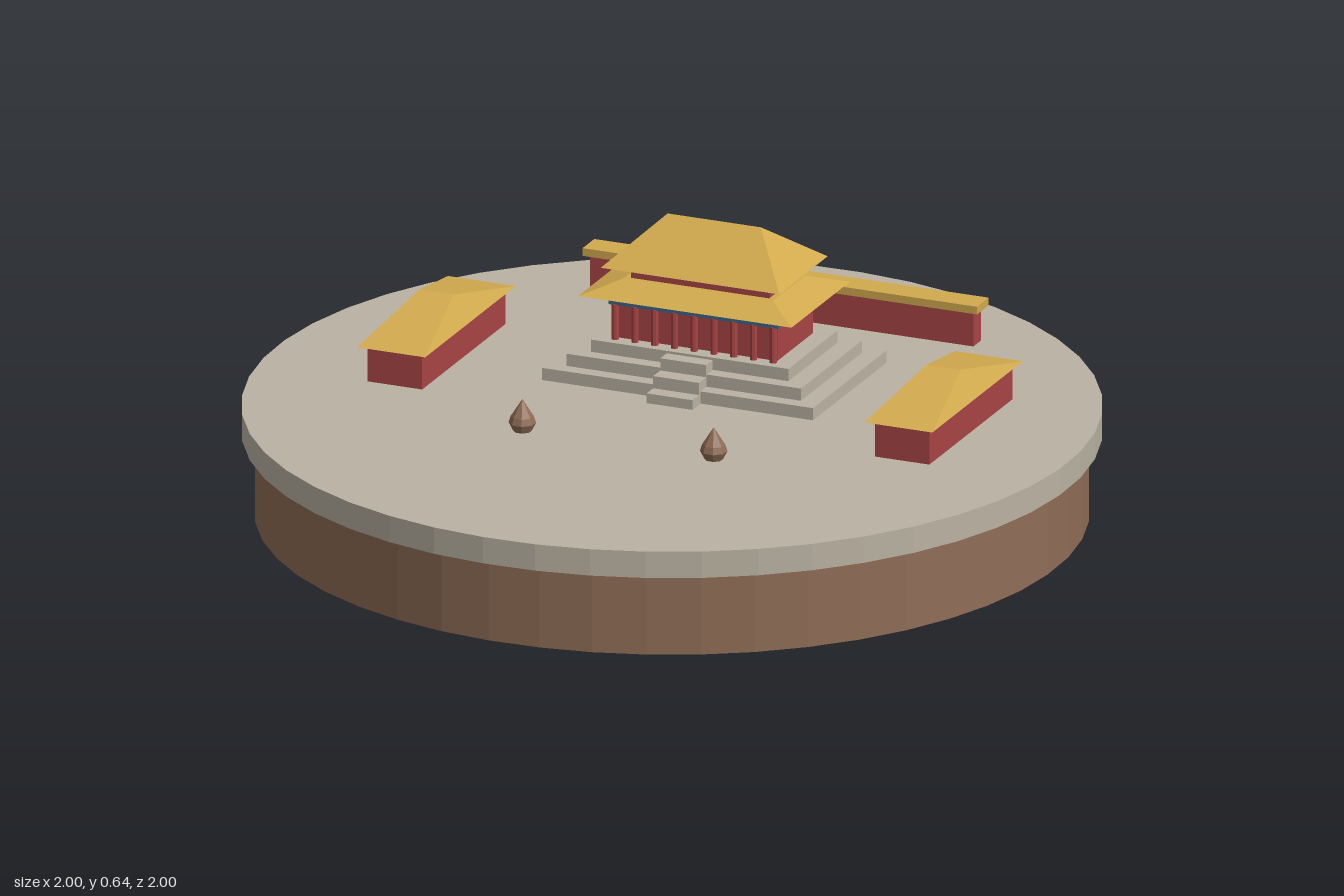
import * as THREE from 'three';

const paint = (name, color) => {
  const m = new THREE.MeshStandardMaterial({ color });
  m.name = name;
  return m;
};

// facet a round geometry
function faceted(geo) {
  const g = geo.toNonIndexed();
  g.computeVertexNormals();
  return g;
}

// box whose top is narrowed; topD = 0 gives a hip roof with its ridge along x
function taperedBox(w, d, h, topW, topD) {
  const g = new THREE.BoxGeometry(w, h, d);
  const p = g.attributes.position;
  for (let i = 0; i < p.count; i++) {
    if (p.getY(i) > 0) {
      p.setX(i, Math.sign(p.getX(i)) * topW / 2);
      p.setZ(i, Math.sign(p.getZ(i)) * topD / 2);
    }
  }
  g.computeVertexNormals();
  return g;
}

export function createModel() {
  const stone = paint('stone', 0xbab2a2);
  const earth = paint('earth', 0x8f6d56);
  const red = paint('red wall', 0xa94444);
  const gold = paint('golden tile', 0xd2aa4e);
  const blue = paint('blue beam', 0x3a6688);

  const model = new THREE.Group();
  model.name = 'palaceIsland';

  const add = (parent, name, geo, mat, x, y, z) => {
    const m = new THREE.Mesh(geo, mat);
    m.name = name;
    m.position.set(x, y, z);
    parent.add(m);
    return m;
  };
  // box given by its bottom and top heights
  const slab = (parent, name, mat, w, d, y0, y1, x = 0, z = 0) =>
    add(parent, name, new THREE.BoxGeometry(w, y1 - y0, d), mat, x, (y0 + y1) / 2, z);
  const roof = (parent, name, w, d, y0, y1, topW, topD = 0) =>
    add(parent, name, taperedBox(w, d, y1 - y0, topW, topD), gold, 0, (y0 + y1) / 2, 0);
  // group turned with the palace axis
  const site = (name, x, z) => {
    const g = new THREE.Group();
    g.name = name;
    g.position.set(x, 0, z);
    g.rotation.y = -Math.PI / 9;
    model.add(g);
    return g;
  };

  // round base
  add(model, 'earthBase', faceted(new THREE.CylinderGeometry(0.97, 0.97, 0.2, 48)), earth, 0, 0.1, 0);
  add(model, 'stonePlaza', faceted(new THREE.CylinderGeometry(1, 1, 0.065, 48)), stone, 0, 0.2325, 0);
  const ground = 0.265;

  // main hall on a three-tier terrace
  const hall = site('mainHall', 0.084, -0.231);
  [[0.686, 0.426], [0.594, 0.356], [0.5, 0.286]].forEach(([w, d], i) =>
    slab(hall, 'terraceTier', stone, w, d, ground + i * 0.03, ground + (i + 1) * 0.03));
  // front steps
  [0.26, 0.222, 0.18].forEach((front, i) =>
    slab(hall, 'frontStep', stone, 0.116, front - 0.1, ground, ground + 0.024 + i * 0.03, 0, (front + 0.1) / 2));

  slab(hall, 'lowerWalls', red, 0.41, 0.208, 0.355, 0.443);
  for (let i = 0; i < 9; i++) {
    add(hall, 'column', faceted(new THREE.CylinderGeometry(0.009, 0.009, 0.088, 8)), red,
      -0.2 + i * 0.05, 0.399, 0.116);
  }
  slab(hall, 'beam', blue, 0.43, 0.244, 0.441, 0.466);
  roof(hall, 'lowerRoof', 0.54, 0.342, 0.469, 0.498, 0.38, 0.19);
  slab(hall, 'upperWalls', red, 0.35, 0.164, 0.49, 0.535);
  roof(hall, 'upperRoof', 0.452, 0.282, 0.535, 0.638, 0.236);

  // side halls
  [['leftHall', 0.639, 0.119], ['rightHall', -0.567, -0.318]].forEach(([name, x, z]) => {
    const g = site(name, x, z);
    slab(g, 'sideWalls', red, 0.138, 0.484, ground, 0.35);
    roof(g, 'sideRoof', 0.172, 0.528, 0.354, 0.415, 0.086);
  });

  // back wall with a flat tiled cap
  const wall = site('backWall', 0.226, -0.623);
  slab(wall, 'wallBody', red, 0.97, 0.044, ground, 0.35);
  slab(wall, 'wallCap', gold, 0.998, 0.068, 0.35, 0.369);

  // drop-shaped shrubs in the forecourt
  const drop = [[0, 0], [0.022, 0.005], [0.032, 0.025], [0.027, 0.041], [0, 0.083]]
    .map(([r, y]) => new THREE.Vector2(r, y));
  [[-0.335, 0.21], [0.12, 0.375]].forEach(([x, z]) =>
    add(model, 'shrub', faceted(new THREE.LatheGeometry(drop, 8)), earth, x, ground, z));

  return model;
}
